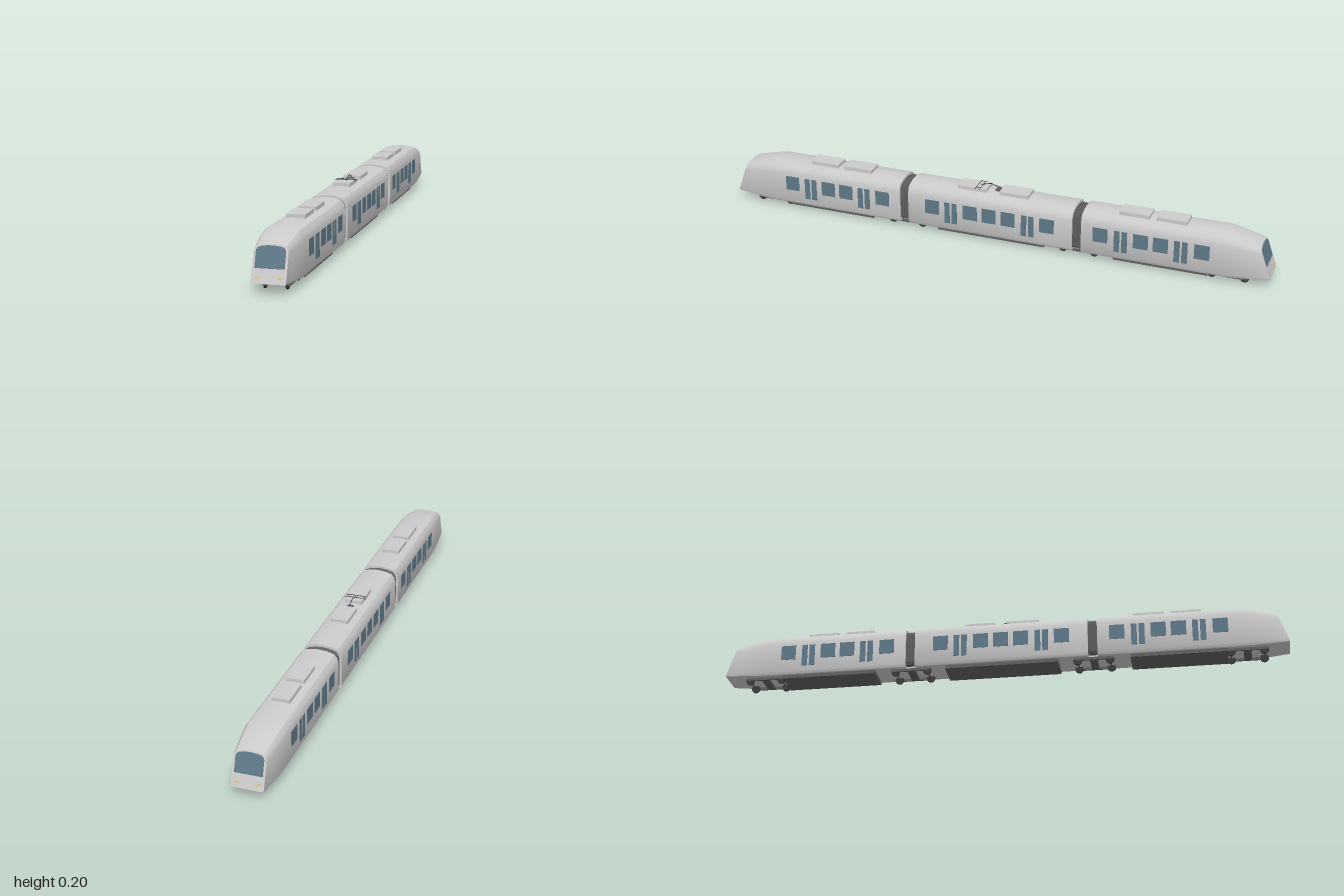
import * as THREE from 'three';
import { toCreasedNormals } from 'three/addons/utils/BufferGeometryUtils.js';

const mat = (color) => new THREE.MeshStandardMaterial({ color });
const grey = mat(0xcccccc), dark = mat(0x606060), black = mat(0x3c3c3c);
const glass = mat(0x5f7888), lamp = mat(0xd8c070);

// Half cross-sections [x, y], from bottom centre to roof centre
const HULL = [[0, .022], [.062, .022], [.068, .033], [.0685, .138], [.064, .156], [.054, .168], [.03, .175], [0, .178]];
const FACE = [[0, .033], [.053, .033], [.055, .04], [.0548, .122], [.0525, .134], [.045, .143], [.025, .147], [0, .148]];
const MID = .307, END = .34, NOSE = .84;
const RAKE = Math.atan(.04 / .115);

function add(parent, name, geometry, material, x = 0, y = 0, z = 0) {
  const m = new THREE.Mesh(geometry, material);
  m.name = name;
  m.position.set(x, y, z);
  parent.add(m);
  return m;
}
const box = (parent, name, material, w, h, d, x, y, z) =>
  add(parent, name, new THREE.BoxGeometry(w, h, d), material, x, y, z);

function rod(parent, name, material, points, radius) {
  const path = new THREE.CurvePath();
  const v = points.map((p) => new THREE.Vector3(...p));
  for (let i = 1; i < v.length; i++) path.add(new THREE.LineCurve3(v[i - 1], v[i]));
  add(parent, name, new THREE.TubeGeometry(path, 16, radius, 6), material);
}

// Closed ring from a half section; zAt gives z for each height
function ring(half, zAt) {
  const left = half.slice(1, -1).reverse().map(([x, y]) => [-x, y]);
  return [...half, ...left].map(([x, y]) => new THREE.Vector3(x, y, zAt(y)));
}

// Capped skin over rings ordered by rising z
function loft(rings, crease) {
  const n = rings[0].length, pos = [], idx = [];
  for (const r of rings) for (const p of r) pos.push(p.x, p.y, p.z);
  for (let i = 0; i < rings.length - 1; i++) {
    for (let j = 0; j < n; j++) {
      const a = i * n + j, b = i * n + (j + 1) % n;
      idx.push(a, b, b + n, a, b + n, a + n);
    }
  }
  [0, rings.length - 1].forEach((r, end) => {
    const c = pos.length / 3, mid = new THREE.Vector3();
    rings[r].forEach((p) => mid.addScaledVector(p, 1 / n));
    pos.push(mid.x, mid.y, mid.z);
    for (let j = 0; j < n; j++) {
      const a = r * n + j, b = r * n + (j + 1) % n;
      idx.push(c, end ? a : b, end ? b : a);
    }
  });
  const g = new THREE.BufferGeometry();
  g.setAttribute('position', new THREE.Float32BufferAttribute(pos, 3));
  g.setIndex(idx);
  return toCreasedNormals(g, crease);
}

// Side windows and paired door panes on both flanks
function sidePanes(car, centre, windows, doors) {
  for (const s of [-1, 1]) {
    for (const z of windows) box(car, 'sideWindow', glass, .003, .054, .053, s * .068, .103, centre + z);
    for (const z of doors) for (const o of [-.0135, .0135]) {
      box(car, 'doorWindow', glass, .003, .08, .02, s * .068, .09, centre + z + o);
    }
  }
}

function roofUnits(car, zs) {
  for (const z of zs) box(car, 'roofUnit', grey, .062, .014, .107, 0, .181, z);
}

function bogie(parent, z) {
  const g = new THREE.Group();
  g.name = 'bogie';
  g.position.z = z;
  parent.add(g);
  for (const s of [-1, 1]) {
    box(g, 'bogieSideFrame', dark, .006, .01, .135, s * .043, .018, 0);
    const axle = add(g, 'axle', new THREE.CylinderGeometry(.003, .003, .08, 8), dark, 0, .015, s * .057);
    axle.rotation.z = Math.PI / 2;
    for (const x of [-.035, .035]) {
      const wheel = add(g, 'wheel', new THREE.CylinderGeometry(.015, .015, .006, 20), black, x, .015, s * .057);
      wheel.rotation.z = Math.PI / 2;
    }
  }
  box(g, 'bogieCrossBeam', dark, .086, .01, .026, 0, .018, 0);
}

// Windscreen and lamps on the raked face
function cabFace(car) {
  const face = new THREE.Group();
  face.name = 'cabFace';
  face.position.set(0, .033, 1);
  face.rotation.x = -RAKE;
  car.add(face);
  const s = new THREE.Shape();
  s.moveTo(-.047, .047);
  s.lineTo(.047, .047);
  s.lineTo(.047, .096);
  s.bezierCurveTo(.047, .108, .04, .113, .025, .1155);
  s.quadraticCurveTo(0, .119, -.025, .1155);
  s.bezierCurveTo(-.04, .113, -.047, .108, -.047, .096);
  add(face, 'windscreen', new THREE.ExtrudeGeometry(s, { depth: .002, bevelEnabled: false }), glass, 0, 0, -.0008);
  for (const x of [-.037, .037]) box(face, 'headlight', lamp, .015, .006, .003, x, .019, 0);
}

function endCar() {
  const car = new THREE.Group();
  car.name = 'endCar';
  const rings = [ring(HULL, () => END), ring(HULL, () => NOSE)];
  for (const t of [.25, .5, .75, 1]) {
    const k = Math.pow(t, 1.25);
    const half = HULL.map(([x, y], i) => [x + (FACE[i][0] - x) * k, y + (FACE[i][1] - y) * k]);
    rings.push(ring(half, (y) => NOSE + (1 - (y - .033) * .04 / .115 - NOSE) * t));
  }
  add(car, 'carBody', loft(rings, .55), grey);
  sidePanes(car, .588, [-.179, -.035, .035, .179], [-.106, .106]);
  roofUnits(car, [.518, .65]);
  box(car, 'underfloorCase', dark, .108, .016, .335, 0, .018, .62);
  cabFace(car);
  bogie(car, .855);

  // Pleated gangway and shared bogie at the inner end
  const pleats = [];
  for (let i = 0; i <= 8; i++) {
    const k = i % 2 ? .86 : .92;
    pleats.push(ring(HULL.map(([x, y]) => [x * k, .1 + (y - .1) * k]), () => MID - .002 + (END - MID + .004) * i / 8));
  }
  add(car, 'gangwayBellows', loft(pleats, .3), dark);
  box(car, 'couplingPlate', grey, .09, .006, .05, 0, .026, (MID + END) / 2);
  bogie(car, (MID + END) / 2);
  return car;
}

function middleCar() {
  const car = new THREE.Group();
  car.name = 'middleCar';
  add(car, 'carBody', loft([ring(HULL, () => -MID), ring(HULL, () => MID)], .55), grey);
  sidePanes(car, 0, [-.215, -.071, 0, .071, .215], [-.144, .144]);
  roofUnits(car, [-.08, .076]);
  box(car, 'underfloorCase', dark, .108, .016, .4, 0, .018, 0);

  // Single-arm current collector
  const p = new THREE.Group();
  p.name = 'currentCollector';
  car.add(p);
  box(p, 'collectorBase', dark, .02, .008, .02, 0, .18, -.015);
  rod(p, 'collectorArm', black, [[0, .184, -.033], [0, .199, .015], [0, .189, .054]], .0013);
  for (const z of [.046, .062]) {
    rod(p, 'contactBar', black, [[-.038, .186, z], [-.03, .189, z], [.03, .189, z], [.038, .186, z]], .0012);
  }
  for (const x of [-.028, .028]) rod(p, 'contactBarLink', black, [[x, .189, .046], [x, .189, .062]], .001);
  return car;
}

export function createModel() {
  const train = new THREE.Group();
  train.name = 'train';
  const rear = endCar();
  rear.rotation.y = Math.PI;
  train.add(endCar(), middleCar(), rear);
  return train;
}
